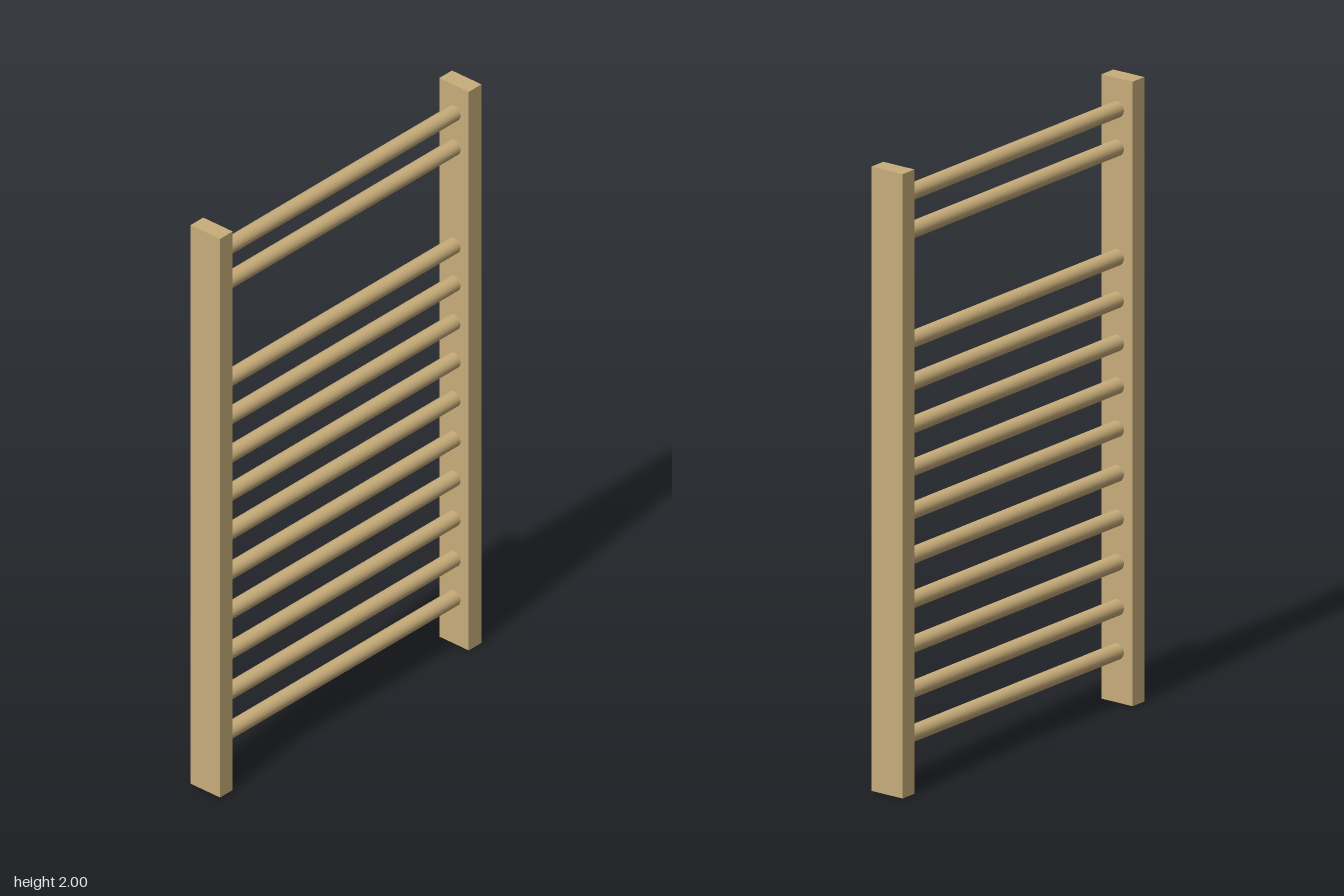
import * as THREE from 'three';

const HEIGHT = 2, POST_WIDTH = 0.12, POST_DEPTH = 0.058, HALF_SPAN = 0.597;
const RUNG_RADIUS = 0.026;

// Rung heights, bottom to top: ten evenly climbing rungs, a gap, then a pair
const RUNG_HEIGHTS = [0.164, 0.305, 0.449, 0.592, 0.734, 0.877, 1.015, 1.152, 1.29, 1.426, 1.777, 1.9];

export function createModel() {
  const model = new THREE.Group();
  model.name = 'ladderRack';
  const wood = new THREE.MeshStandardMaterial({ color: 0xc8ad7a });

  // Two upright posts, front and back
  const postGeometry = new THREE.BoxGeometry(POST_WIDTH, HEIGHT, POST_DEPTH);
  for (const [name, side] of [['frontPost', 1], ['backPost', -1]]) {
    const post = new THREE.Mesh(postGeometry, wood);
    post.name = name;
    post.position.set(0, HEIGHT / 2, side * (HALF_SPAN - POST_DEPTH / 2));
    model.add(post);
  }

  // Round rungs running between the inner faces of the posts
  const length = 2 * (HALF_SPAN - POST_DEPTH) + 0.004;
  const rungGeometry = new THREE.CylinderGeometry(RUNG_RADIUS, RUNG_RADIUS, length, 32).rotateX(Math.PI / 2);
  const rungs = new THREE.Group();
  rungs.name = 'rungs';
  RUNG_HEIGHTS.forEach((y, i) => {
    const rung = new THREE.Mesh(rungGeometry, wood);
    rung.name = `rung${i + 1}`;
    rung.position.y = y;
    rungs.add(rung);
  });
  model.add(rungs);

  return model;
}
